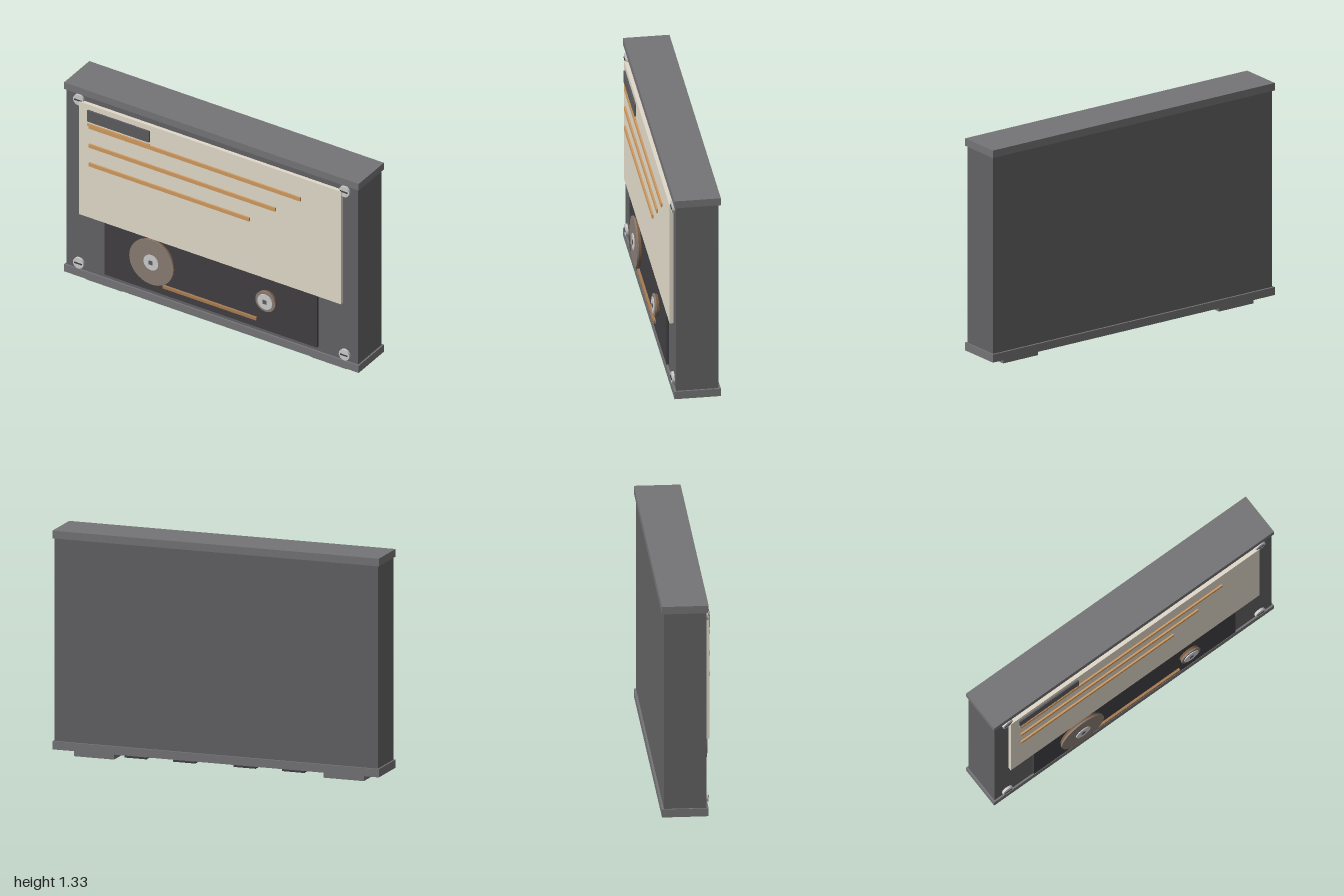
import * as THREE from 'three';

const mat = (color) => new THREE.MeshStandardMaterial({ color });

export function createModel() {
  const model = new THREE.Group();
  const shell = mat(0x626264), trim = mat(0x747476), dark = mat(0x403e42), cream = mat(0xe0d9c9);
  const orange = mat(0xd09a60), labelGrey = mat(0x5c5c60), steel = mat(0xcccccc);
  const flangeMat = mat(0x877b72), tapeMat = mat(0x7a5a40), black = mat(0x404042);

  // Box given by its extents
  function box(name, m, x0, x1, y0, y1, z0, z1, parent = model) {
    const mesh = new THREE.Mesh(new THREE.BoxGeometry(x1 - x0, y1 - y0, z1 - z0), m);
    mesh.position.set((x0 + x1) / 2, (y0 + y1) / 2, (z0 + z1) / 2);
    mesh.name = name;
    parent.add(mesh);
  }
  // Disc facing the front, from z0 to z1
  function disc(name, m, r, z0, z1, parent) {
    const geo = new THREE.CylinderGeometry(r, r, z1 - z0, 40).rotateX(Math.PI / 2);
    const mesh = new THREE.Mesh(geo, m);
    mesh.position.z = (z0 + z1) / 2;
    mesh.name = name;
    parent.add(mesh);
  }
  function groupAt(name, x, y) {
    const g = new THREE.Group();
    g.name = name;
    g.position.set(x, y, 0);
    model.add(g);
    return g;
  }

  // Case with overhanging top and bottom rims
  box('caseBody', shell, -0.99, 0.99, 0.08, 1.29, -0.14, 0.105);
  box('topRim', trim, -1, 1, 1.28, 1.325, -0.152, 0.116);
  box('bottomRim', trim, -1, 1, 0.042, 0.09, -0.152, 0.116);

  // Label card and recessed-looking tape panel
  box('labelCard', cream, -0.89, 0.887, 0.475, 1.24, 0.1, 0.128);
  box('tapePanel', dark, -0.72, 0.72, 0.12, 0.476, 0.1, 0.122);
  box('titleBlock', labelGrey, -0.83, -0.41, 1.13, 1.205, 0.125, 0.138);
  box('titleUnderline', orange, -0.83, -0.41, 1.1, 1.115, 0.125, 0.136);
  [[1.097, 0.615], [0.968, 0.445], [0.841, 0.27]].forEach(([y, x1]) =>
    box('labelLine', orange, -0.82, x1, y - 0.012, y + 0.012, 0.125, 0.138));

  // Reels: wound tape, flange, hub and square drive hole
  [[-0.388, 0.15], [0.385, 0.067]].forEach(([x, r]) => {
    const reel = groupAt('reel', x, 0.33);
    disc('woundTape', tapeMat, r * 0.96, 0.12, 0.139, reel);
    disc('flange', flangeMat, r, 0.137, 0.147, reel);
    disc('hub', steel, 0.05, 0.14, 0.152, reel);
    box('driveSocket', labelGrey, -0.013, 0.013, -0.013, 0.013, 0.145, 0.154, reel);
  });
  box('tapeStrip', mat(0xa87b50), -0.32, 0.315, 0.172, 0.19, 0.118, 0.136);

  // Slotted corner screws
  for (const x of [-0.902, 0.902]) for (const y of [0.132, 1.24]) {
    const screw = groupAt('screw', x, y);
    disc('screwHead', steel, 0.035, 0.1, 0.12, screw);
    box('screwSlot', dark, -0.025, 0.025, -0.004, 0.004, 0.115, 0.124, screw);
  }

  // Feet and small pads under the bottom rim
  for (const s of [-1, 1]) {
    box('foot', trim, s * 0.765 - 0.123, s * 0.765 + 0.123, 0, 0.045, -0.1, 0.065);
  }
  for (const x of [-0.45, -0.152, 0.218, 0.517]) {
    box('bottomPad', black, x - 0.068, x + 0.068, 0.014, 0.045, -0.085, 0.05);
  }
  return model;
}
